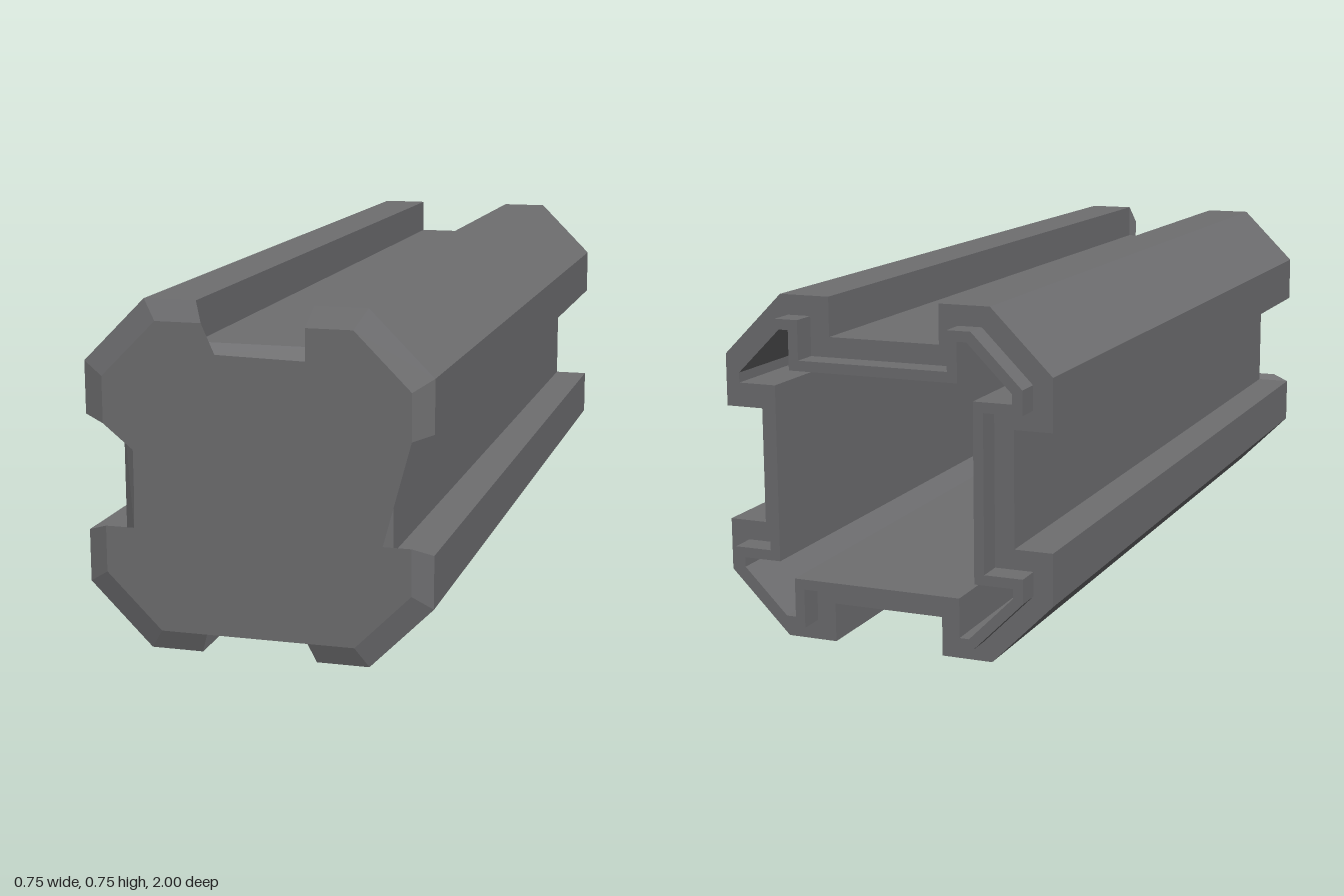
import * as THREE from 'three';

const CY = 0.3735;

// Grooved octagonal cross-section, inset by d, counter-clockwise
function profile(d) {
  const h = 0.3735 - d, c = 0.238 - 0.414 * d, w = 0.125 + d, f = 0.289 - d;
  const quarter = [[f, w], [h, w], [h, c], [c, h], [w, h], [w, f]];
  return rotateQuarter(quarter);
}

function rotateQuarter(quarter) {
  const pts = [];
  for (let k = 0; k < 4; k++) {
    for (const [x, y] of quarter) {
      const p = [[x, y], [-y, x], [-x, -y], [y, -x]][k];
      pts.push(new THREE.Vector2(p[0], p[1] + CY));
    }
  }
  return pts;
}

// Hollow extrusion between two inset profiles
function tube(outer, inner, z0, z1) {
  const shape = new THREE.Shape(profile(outer));
  shape.holes.push(new THREE.Path(profile(inner)));
  const geo = new THREE.ExtrudeGeometry(shape, { depth: z1 - z0, bevelEnabled: false });
  return geo.translate(0, 0, z0);
}

// Sloping strip joining two rings of points
function ringStrip(a, za, b, zb) {
  const pos = [];
  a.forEach((p, i) => {
    const j = (i + 1) % a.length;
    const A = [p.x, p.y, za], B = [a[j].x, a[j].y, za];
    const C = [b[j].x, b[j].y, zb], D = [b[i].x, b[i].y, zb];
    pos.push(...A, ...B, ...C, ...A, ...C, ...D);
  });
  const geo = new THREE.BufferGeometry();
  geo.setAttribute('position', new THREE.Float32BufferAttribute(pos, 3));
  geo.computeVertexNormals();
  return geo;
}

export function createModel() {
  const group = new THREE.Group();
  const metal = new THREE.MeshStandardMaterial({ color: 0x6e6e70, flatShading: true, side: THREE.DoubleSide });
  metal.name = 'dark grey metal';

  const add = (name, geo) => {
    const mesh = new THREE.Mesh(geo, metal);
    mesh.name = name;
    group.add(mesh);
  };

  // Grooved body and the stepped lip at its open rear end
  add('body', tube(0, 0.065, -0.943, 0.985));
  add('rearLip', tube(0.043, 0.065, -1, -0.943));

  // Bevel around the front end
  const ring = rotateQuarter([[0.267, 0.11], [0.33, 0.11], [0.33, 0.21], [0.21, 0.33], [0.11, 0.33], [0.11, 0.262]]);
  add('frontBevel', ringStrip(profile(0), 0.985, ring, 1));

  // Front cap, with uneven groove cut-outs and a closed bottom groove
  const cap = [
    [0.27, -0.11], [0.33, 0.11], [0.33, 0.21], [0.21, 0.33], [0.11, 0.33], [0.11, 0.262],
    [-0.08, 0.262], [-0.11, 0.33], [-0.21, 0.33], [-0.33, 0.21], [-0.33, 0.11], [-0.265, 0.057],
    [-0.265, -0.11], [-0.33, -0.11], [-0.33, -0.21], [-0.21, -0.33], [0.21, -0.33], [0.33, -0.21], [0.33, -0.11],
  ].map(([x, y]) => new THREE.Vector2(x, y + CY));
  add('frontCap', new THREE.ShapeGeometry(new THREE.Shape(cap)).translate(0, 0, 1));

  return group;
}
